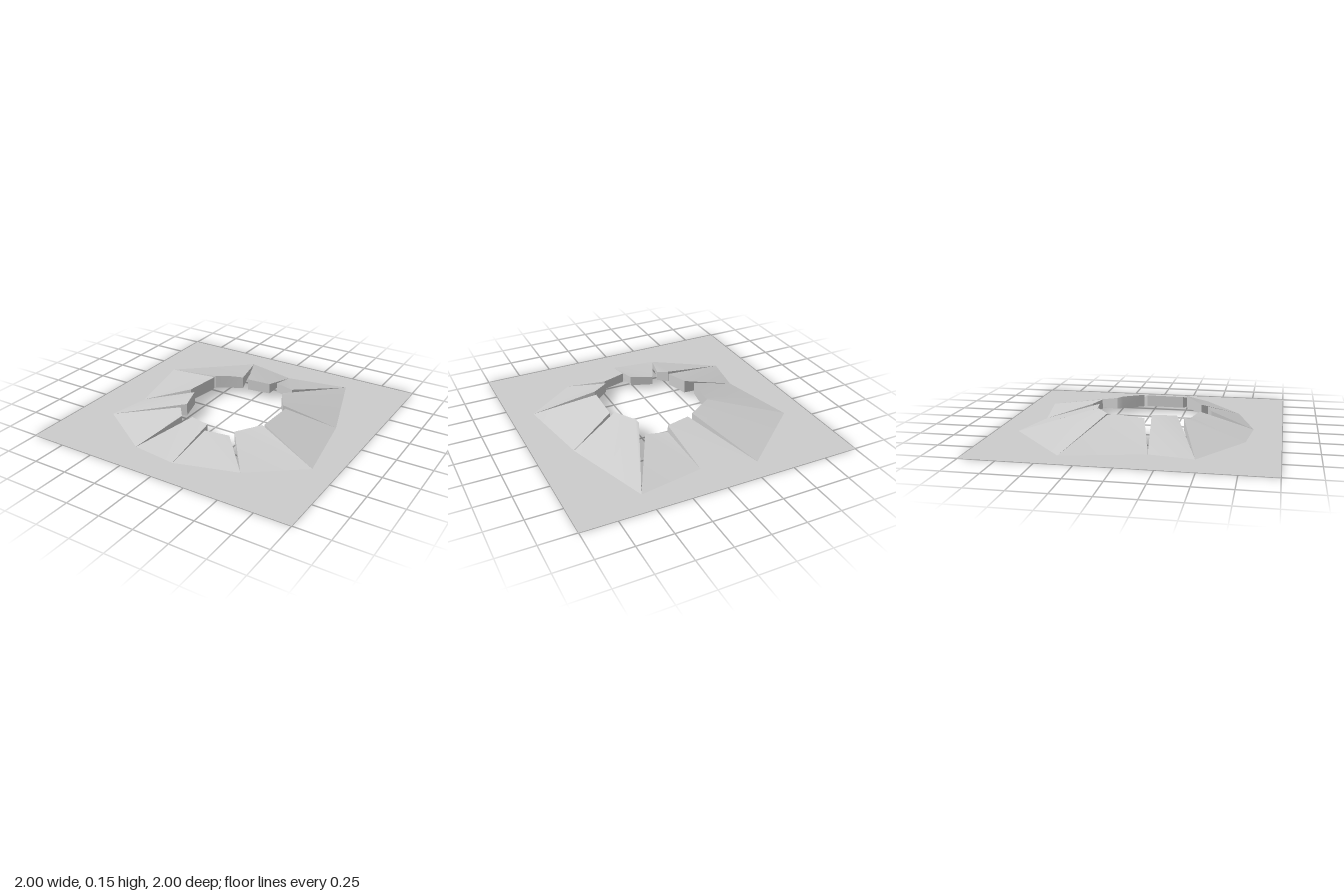
import * as THREE from 'three';

// Each petal: outer end of the crack that starts it [x, z], then its raised lip points [x, y, z].
// The crack that ends a petal is the one that starts the next.
const PETALS = [
  { tip: [-0.32, -0.84], lip: [[-0.07, 0.13, -0.32], [0.1, 0.12, -0.35]] },
  { tip: [0.06, -0.75], lip: [[0.13, 0.11, -0.41], [0.28, 0.11, -0.37]] },
  { tip: [0.52, -0.83], lip: [[0.27, 0.13, -0.25], [0.28, 0.14, -0.21], [0.37, 0.14, -0.06]] },
  { tip: [0.73, -0.19], lip: [[0.4, 0.13, -0.04], [0.39, 0.13, 0.24]] },
  { tip: [0.83, 0.39], lip: [[0.39, 0.14, 0.27], [0.25, 0.11, 0.4]] },
  { tip: [0.46, 0.67], lip: [[0.24, 0.1, 0.45], [0.07, 0.11, 0.49]] },
  { tip: [0.02, 0.8], lip: [[0.04, 0.11, 0.41], [-0.12, 0.1, 0.36]] },
  { tip: [-0.31, 0.76], lip: [[-0.18, 0.11, 0.4], [-0.24, 0.13, 0.33]] },
  { tip: [-0.75, 0.47], lip: [[-0.22, 0.14, 0.28], [-0.27, 0.15, 0.11]] },
  { tip: [-0.7, 0.16], lip: [[-0.33, 0.14, 0.07], [-0.29, 0.15, -0.16], [-0.3, 0.14, -0.2]] },
  { tip: [-0.83, -0.4], lip: [[-0.29, 0.15, -0.2], [-0.2, 0.15, -0.26], [-0.11, 0.14, -0.31]] },
];

// Ruled strip between two rows with the same number of points.
function strip(top, bottom, material, name) {
  const index = [];
  const n = top.length;
  for (let i = 0; i < n - 1; i++) {
    index.push(i, i + 1, n + i, i + 1, n + i + 1, n + i);
  }
  const geometry = new THREE.BufferGeometry().setFromPoints([...top, ...bottom]);
  geometry.setIndex(index);
  geometry.computeVertexNormals();
  const mesh = new THREE.Mesh(geometry, material);
  mesh.name = name;
  return mesh;
}

export function createModel() {
  const group = new THREE.Group();
  group.name = 'burstOpenSheet';
  const material = new THREE.MeshStandardMaterial({ color: 0xcccccc, side: THREE.DoubleSide });

  // Flat square sheet, opened along the ring of crack ends.
  const outline = new THREE.Shape([[-1, -1], [1, -1], [1, 1], [-1, 1]].map(([x, y]) => new THREE.Vector2(x, y)));
  outline.holes.push(new THREE.Path(PETALS.map(({ tip: [x, z] }) => new THREE.Vector2(x, -z))));
  const sheet = new THREE.Mesh(new THREE.ShapeGeometry(outline).rotateX(-Math.PI / 2), material);
  sheet.name = 'flatSheet';
  group.add(sheet);

  PETALS.forEach(({ tip, lip }, i) => {
    const next = PETALS[(i + 1) % PETALS.length].tip;
    const start = new THREE.Vector3(tip[0], 0, tip[1]);
    const end = new THREE.Vector3(next[0], 0, next[1]);
    const edge = lip.map((p) => new THREE.Vector3(...p));
    const base = edge.map((_, k) => start.clone().lerp(end, k / (edge.length - 1)));

    const petal = new THREE.Group();
    petal.name = 'petal';
    petal.add(strip(edge, base, material, 'petalSlope'));

    // Folded-down edge: deep along the lip, tapering to nothing at the crack ends.
    const drop = (p) => new THREE.Vector3(p.x, p.y * 0.35, p.z);
    const fold = (row, name) => petal.add(strip(row, row.map(drop), material, name));
    fold(edge, 'petalLip');
    fold([start, edge[0]], 'petalSide');
    fold([edge[edge.length - 1], end], 'petalSide');
    group.add(petal);
  });

  return group;
}
